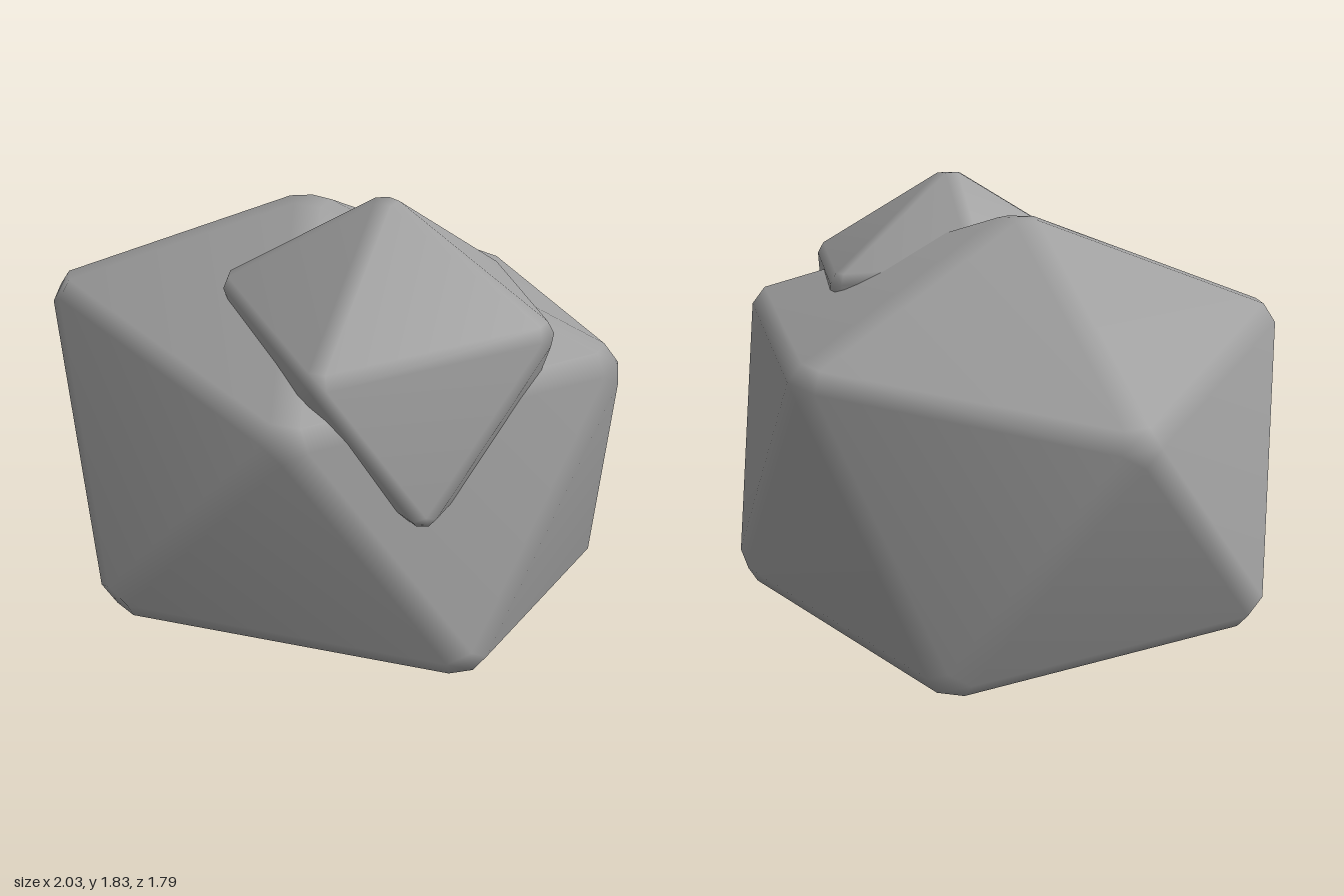
import * as THREE from 'three';
import { ConvexGeometry } from 'three/addons/geometries/ConvexGeometry.js';
import { mergeVertices } from 'three/addons/utils/BufferGeometryUtils.js';

// Uneven icosahedron (top, upper ring, lower ring, bottom) with bevelled corners and smooth normals
function bevelledRock({ top, upper, lower, bottom }, bevel, bottomBevel) {
  const vec = (p) => new THREE.Vector3(...p);
  const t = vec(top), b = vec(bottom), u = upper.map(vec), l = lower.map(vec);
  const points = [];
  const addFace = (...corners) => {
    const centre = new THREE.Vector3();
    corners.forEach((c) => centre.addScaledVector(c, 1 / 3));
    corners.forEach((c) => points.push(c.clone().lerp(centre, c === b ? bottomBevel : bevel)));
  };
  for (let i = 0; i < 5; i++) {
    const j = (i + 1) % 5;
    addFace(t, u[i], u[j]);
    addFace(u[i], l[i], u[j]);
    addFace(l[i], u[j], l[j]);
    addFace(b, l[i], l[j]);
  }
  const hull = new ConvexGeometry(points);
  hull.deleteAttribute('normal');
  const geometry = mergeVertices(hull, 1e-4);
  geometry.computeVertexNormals();
  return geometry;
}

export function createModel() {
  const group = new THREE.Group();
  group.name = 'rockPile';
  const stone = new THREE.MeshStandardMaterial({ color: 0xa0a0a0 });
  stone.name = 'greyStone';

  const add = (name, geometry) => {
    const mesh = new THREE.Mesh(geometry, stone);
    mesh.name = name;
    group.add(mesh);
  };

  // Main boulder
  add('boulder', bevelledRock({
    top: [-0.08, 1.75, 0],
    upper: [[-0.84, 1.43, 0.44], [0.31, 1.27, 0.77], [1.03, 1.39, -0.07], [0.24, 1.3, -0.83], [-0.88, 1.2, -0.66]],
    lower: [[-0.29, 0.56, 0.92], [0.84, 0.47, 0.51], [0.85, 0.42, -0.43], [-0.36, 0.4, -0.91], [-1.03, 0.5, -0.06]],
    bottom: [0.13, 0, 0.05],
  }, 0.14, 0.01));

  // Smaller stone sunk into the top
  add('smallStone', bevelledRock({
    top: [0.3, 1.86, 0.16],
    upper: [[-0.19, 1.55, 0.37], [0, 1.55, -0.12], [0.47, 1.5, -0.32], [0.89, 1.53, 0.15], [0.35, 1.43, 0.68]],
    lower: [[0, 1.15, 0.15], [0.25, 1.1, -0.2], [0.7, 1.05, -0.05], [0.69, 0.99, 0.58], [0.1, 1.1, 0.45]],
    bottom: [0.4, 0.9, 0.2],
  }, 0.14, 0.14));

  return group;
}
